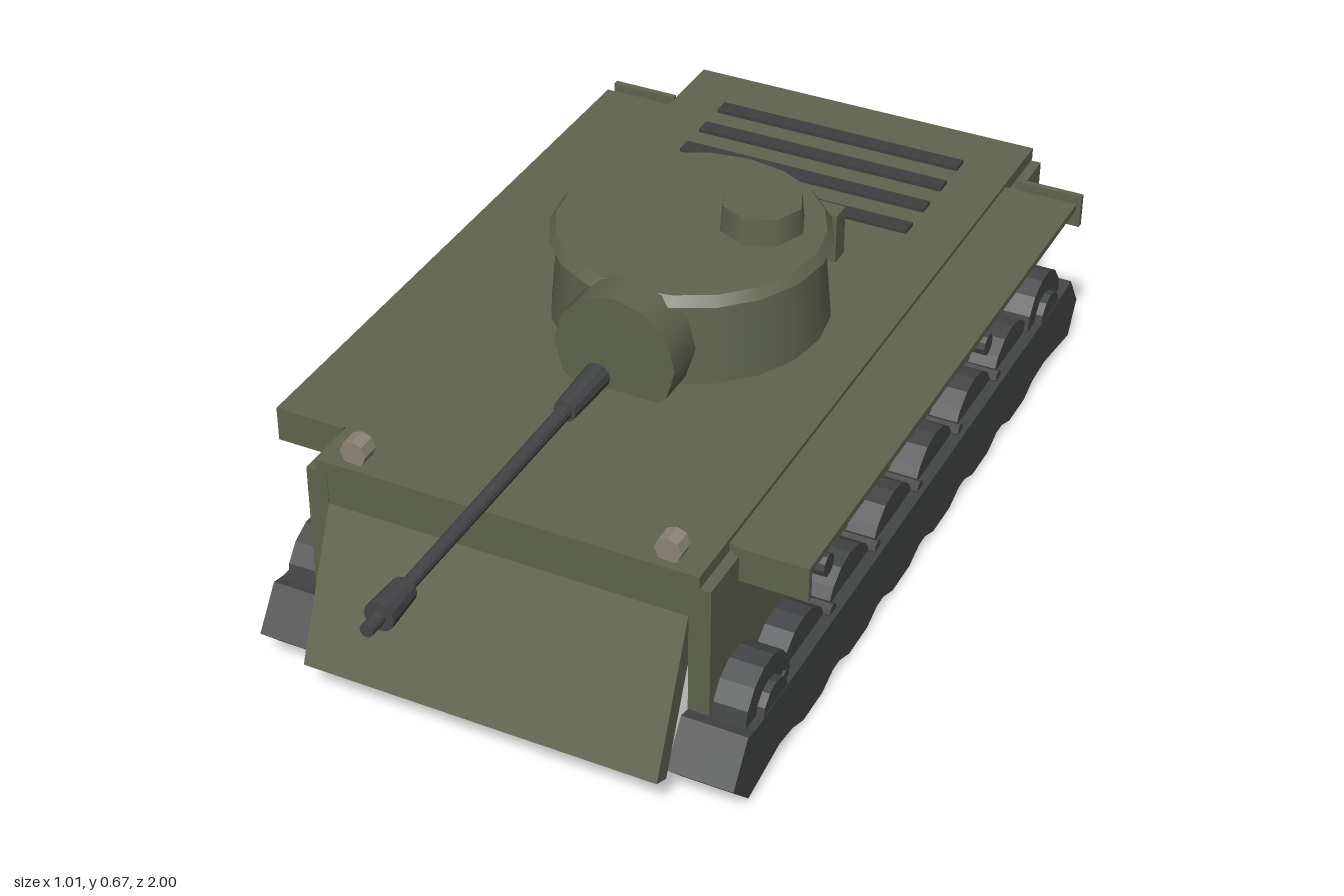
import * as THREE from 'three';

const mat = (color, flatShading = false) =>
  new THREE.MeshStandardMaterial({ color, flatShading, side: THREE.DoubleSide });
const OLIVE = mat(0x5f644e), STEEL = mat(0x444546, true), GRILLE = mat(0x3e3f3f), LAMP = mat(0x8c8676, true);

export function createModel() {
  const root = new THREE.Group();
  root.name = 'tank';

  const add = (name, geometry, material, parent = root) => {
    const mesh = new THREE.Mesh(geometry, material);
    mesh.name = name;
    parent.add(mesh);
    return mesh;
  };
  // Box given by its limits on each axis
  const box = (name, [x0, x1], [y0, y1], [z0, z1], material, parent) =>
    add(name, new THREE.BoxGeometry(x1 - x0, y1 - y0, z1 - z0)
      .translate((x0 + x1) / 2, (y0 + y1) / 2, (z0 + z1) / 2), material, parent);
  // Side profile of [z, y] points, extruded from x0 to x1
  const profile = (name, points, x0, x1, material, parent) => {
    const shape = new THREE.Shape(points.map(([z, y]) => new THREE.Vector2(z, y)));
    const geometry = new THREE.ExtrudeGeometry(shape, { depth: x1 - x0, bevelEnabled: false });
    return add(name, geometry.rotateY(-Math.PI / 2).translate(x1, 0, 0), material, parent);
  };
  // Cylinder lying along x
  const disc = (name, r, x0, x1, y, z, sides, parent, material = STEEL) =>
    add(name, new THREE.CylinderGeometry(r, r, x1 - x0, sides).rotateZ(Math.PI / 2)
      .translate((x0 + x1) / 2, y, z), material, parent);
  // Cylinder lying along z, from z0 (radius r0) to z1 (radius r1)
  const rod = (name, r0, r1, z0, z1, x, y, sides, material, parent) =>
    add(name, new THREE.CylinderGeometry(r1, r0, z1 - z0, sides).rotateX(Math.PI / 2)
      .translate(x, y, (z0 + z1) / 2), material, parent);

  // Hull shell, open underneath
  const hull = new THREE.Group();
  hull.name = 'hull';
  root.add(hull);
  box('deck', [-0.36, 0.36], [0.42, 0.445], [-0.935, 0.577], OLIVE, hull);
  box('upperFrontPlate', [-0.34, 0.34], [0.34, 0.42], [0.54, 0.574], OLIVE, hull);
  profile('frontPlate', [[0.575, 0.357], [0.69, 0.086], [0.655, 0.07], [0.54, 0.34]], -0.34, 0.34, OLIVE, hull);
  profile('rearPlate', [[-0.93, 0.44], [-0.9, 0.42], [-0.935, 0.165], [-0.967, 0.168]], -0.36, 0.36, OLIVE, hull);
  for (let i = 0; i < 4; i++) {
    const z = -0.545 - i * 0.086;
    box('engineGrille', [-0.258, 0.258], [0.44, 0.452], [z - 0.017, z + 0.017], GRILLE, hull);
  }

  // Track outline: pointed ends, bulging under each road wheel
  const wheelZ = [0.32, 0.122, -0.076, -0.274, -0.472, -0.67];
  const trackOutline = [[0.645, 0.078], [0.59, 0.155], [0.56, 0.148], [-0.92, 0.148], [-0.95, 0.153],
    [-1, 0.08], [-0.963, 0.014], [-0.82, 0.035]];
  [...wheelZ].reverse().forEach((z) =>
    trackOutline.push([z - 0.085, 0.03], [z - 0.04, 0.012], [z + 0.04, 0.012], [z + 0.085, 0.03]));
  trackOutline.push([0.46, 0.038], [0.585, 0.016]);

  // Parts repeated on both sides
  for (const s of [1, -1]) {
    const side = new THREE.Group();
    side.name = s > 0 ? 'leftSide' : 'rightSide';
    root.add(side);
    const span = (a, b) => (s > 0 ? [a, b] : [-b, -a]);

    box('sidePlate', span(0.34, 0.38), [0.16, 0.42], [-0.93, 0.575], OLIVE, side);
    box('fender', span(0.36, 0.505), [0.424, 0.437], [-0.785, 0.465], OLIVE, side);
    box('frontFlap', span(0.37, 0.505), [0.37, 0.437], [0.458, 0.47], OLIVE, side);
    box('rearFlap', span(0.37, 0.505), [0.37, 0.437], [-0.826, -0.814], OLIVE, side);
    box('sideVent', span(0.33, 0.41), [0.343, 0.387], [-0.59, -0.48], OLIVE, side);
    rod('headlight', 0.025, 0.025, 0.525, 0.56, s * 0.295, 0.465, 8, LAMP, side);
    for (const z of [0.205, -0.55]) disc('sideStub', 0.022, ...span(0.36, 0.43), 0.232, z, 10, side);

    profile('track', trackOutline, ...span(0.335, 0.458), STEEL, side);
    for (const z of wheelZ) disc('roadWheel', 0.1, ...span(0.36, 0.435), 0.104, z, 16, side);
    for (let i = 0; i < 6; i++)
      disc('returnRoller', 0.014, ...span(0.36, 0.448), 0.15, 0.42 - i * 0.198, 8, side);
    for (const z of [0.48, -0.83]) {
      disc('endWheel', 0.09, ...span(0.345, 0.443), 0.142, z, 14, side);
      disc('endWheelHub', 0.05, ...span(0.34, 0.457), 0.14, z, 12, side);
    }
  }

  // Turret
  const turret = new THREE.Group();
  turret.name = 'turret';
  root.add(turret);
  const drum = (name, rTop, rBottom, y0, y1, x, z, sides) =>
    add(name, new THREE.CylinderGeometry(rTop, rBottom, y1 - y0, sides)
      .translate(x, (y0 + y1) / 2, z), OLIVE, turret);
  drum('turretBody', 0.24, 0.256, 0.44, 0.618, 0, -0.132, 20);
  drum('turretRim', 0.244, 0.257, 0.604, 0.622, 0, -0.132, 20);
  drum('cupola', 0.075, 0.081, 0.615, 0.672, 0.116, -0.182, 8);
  box('stowageBin', [-0.185, 0.185], [0.455, 0.555], [-0.402, -0.362], OLIVE, turret);
  rod('mantlet', 0.117, 0.117, 0.09, 0.173, 0, 0.518, 12, OLIVE, turret);

  // Gun
  const gun = new THREE.Group();
  gun.name = 'gun';
  turret.add(gun);
  const gunParts = [['gunSleeve', 0.025, 0.021, 0.235, 0.355], ['barrel', 0.014, 0.012, 0.35, 0.89],
    ['muzzleBrake', 0.023, 0.027, 0.885, 0.962], ['muzzleTip', 0.012, 0.012, 0.96, 1]];
  for (const [name, r0, r1, z0, z1] of gunParts) rod(name, r0, r1, z0, z1, 0, 0.516, 12, STEEL, gun);

  return root;
}
